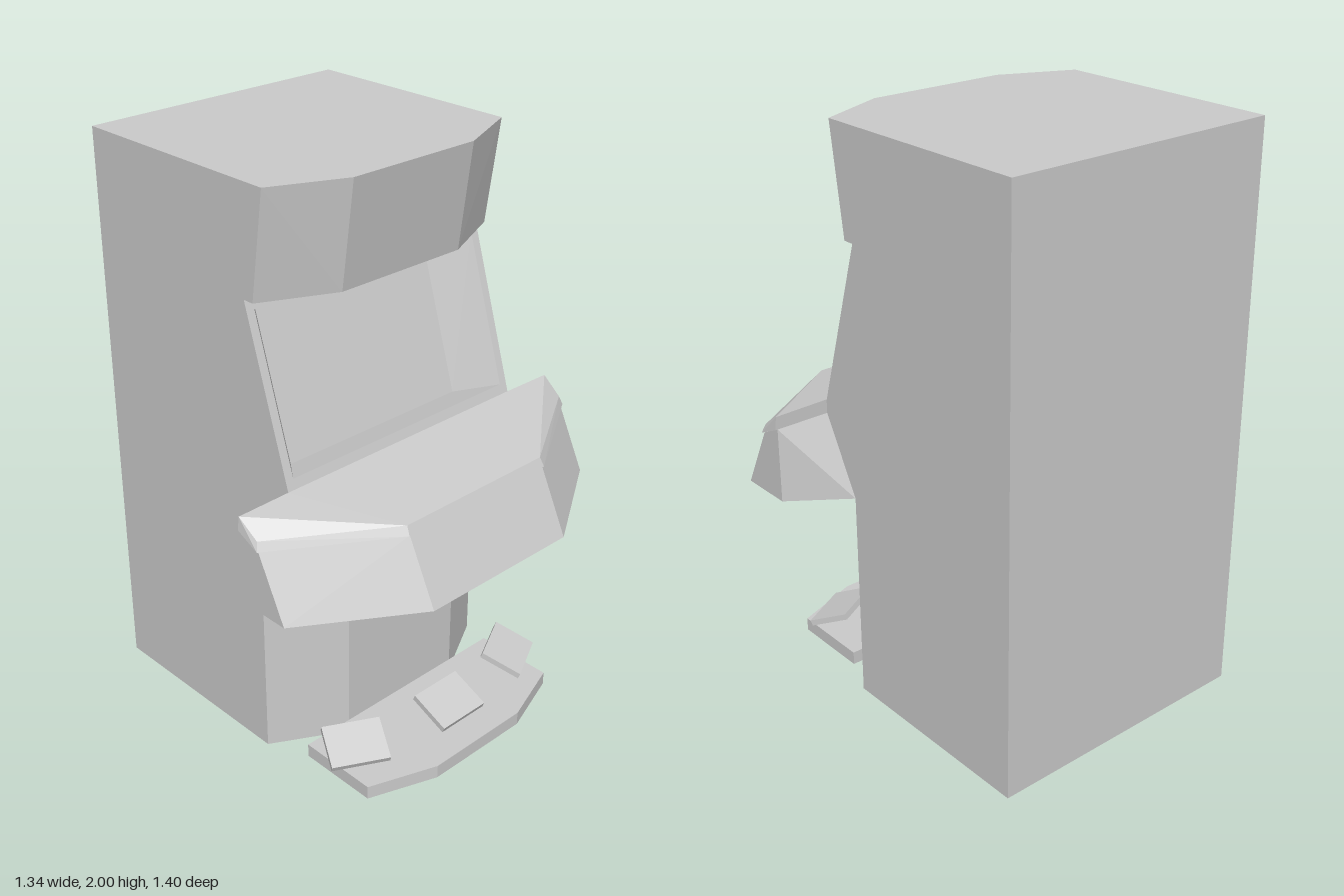
import * as THREE from 'three';
import { ConvexGeometry } from 'three/addons/geometries/ConvexGeometry.js';

const material = new THREE.MeshStandardMaterial({ color: 0xcccccc, flatShading: true });

function part(name, geometry) {
  const mesh = new THREE.Mesh(geometry, material);
  mesh.name = name;
  return mesh;
}

// Convex solid from corners on the +z half, mirrored to -z
function mirroredHull(corners) {
  const points = corners.flatMap(([x, y, z]) => [
    new THREE.Vector3(x, y, z), new THREE.Vector3(x, y, -z),
  ]);
  return new ConvexGeometry(points);
}

// Upright prism from a half plan of [x, z] corners
function prism(plan, y0, y1) {
  return mirroredHull([y0, y1].flatMap((y) => plan.map(([x, z]) => [x, y, z])));
}

function toShape(points) {
  return new THREE.Shape(points.map(([x, y]) => new THREE.Vector2(x, y)));
}

export function createModel() {
  const model = new THREE.Group();
  model.name = 'arcadeCabinet';

  // Sloping screen face, and the same face pushed back by the recess depth
  const low = [0.23, 1.055], high = [0.05, 1.635], depth = 0.133;
  const tilt = Math.atan2(low[0] - high[0], high[1] - low[1]);
  const slopeLength = Math.hypot(low[0] - high[0], high[1] - low[1]);
  const inset = ([x, y]) => [x - depth * Math.cos(tilt), y - depth * Math.sin(tilt)];

  // Cabinet from its side profile, notched where the screen frame sits
  const profile = [
    [-0.67, 0], [0.09, 0], [0.09, 0.75], [0.23, 1.01], low, inset(low),
    inset(high), high, [0.09, 1.635], [0.145, 2], [-0.67, 2],
  ];
  const cabinet = new THREE.ExtrudeGeometry(toShape(profile), { depth: 1, bevelEnabled: false });
  cabinet.translate(0, 0, -0.5);
  model.add(part('cabinet', cabinet));

  // Screen frame: its opening narrows sideways towards the back
  const frameShape = toShape([[-0.5, 0], [0.5, 0], [0.5, slopeLength], [-0.5, slopeLength]]);
  frameShape.holes.push(new THREE.Path([
    [-0.47, 0.037], [-0.47, 0.57], [0.47, 0.57], [0.47, 0.037],
  ].map(([x, y]) => new THREE.Vector2(x, y))));
  const frame = new THREE.ExtrudeGeometry(frameShape, { depth, bevelEnabled: false });
  const pos = frame.attributes.position;
  for (let i = 0; i < pos.count; i++) {
    const x = pos.getX(i);
    if (pos.getZ(i) < 0.01 && Math.abs(x) < 0.49) pos.setX(i, Math.sign(x) * 0.37);
  }
  frame.computeVertexNormals();
  frame.rotateX(-tilt).rotateY(Math.PI / 2).translate(...inset(low), 0);
  model.add(part('screenFrame', frame));

  // Angled fronts above the screen and below the controls
  model.add(part('headerPanel', mirroredHull([
    [0.09, 1.635, 0.5], [0.205, 1.635, 0.25], [0.145, 2, 0.5], [0.255, 2, 0.25],
    [0, 1.635, 0.5], [0, 2, 0.5],
  ])));
  model.add(part('lowerFront', prism([[0.09, 0.5], [0.23, 0.25]], 0, 0.76)));

  // Control deck with a slightly overhanging lid
  model.add(part('controlBox', mirroredHull([
    [0.09, 0.75, 0.5], [0.23, 0.75, 0.692], [0.42, 0.75, 0.692], [0.665, 0.75, 0.305],
    [0.23, 1.01, 0.5], [0.23, 1.01, 0.692], [0.31, 0.97, 0.692], [0.557, 0.97, 0.305],
  ])));
  model.add(part('controlLid', mirroredHull([
    [0.23, 1.01, 0.7], [0.315, 0.97, 0.7], [0.56, 0.97, 0.31],
    [0.23, 1.058, 0.5], [0.23, 1.055, 0.695], [0.305, 1, 0.69], [0.545, 1, 0.305],
  ])));

  // Foot plate and its three tilted pedals
  model.add(part('footPlate', prism([[0.23, 0.44], [0.52, 0.44], [0.605, 0.2]], 0, 0.048)));
  const pedals = [
    ['centrePedal', 0.463, 0, 0],
    ['leftPedal', 0.405, 0.385, -0.486],
    ['rightPedal', 0.405, -0.365, 0.486],
  ];
  for (const [name, x, z, turn] of pedals) {
    const pedal = part(name, new THREE.BoxGeometry(0.152, 0.021, 0.2));
    pedal.position.set(x, 0.127, z);
    pedal.rotation.set(0, turn, -0.4);
    model.add(pedal);
  }

  return model;
}
